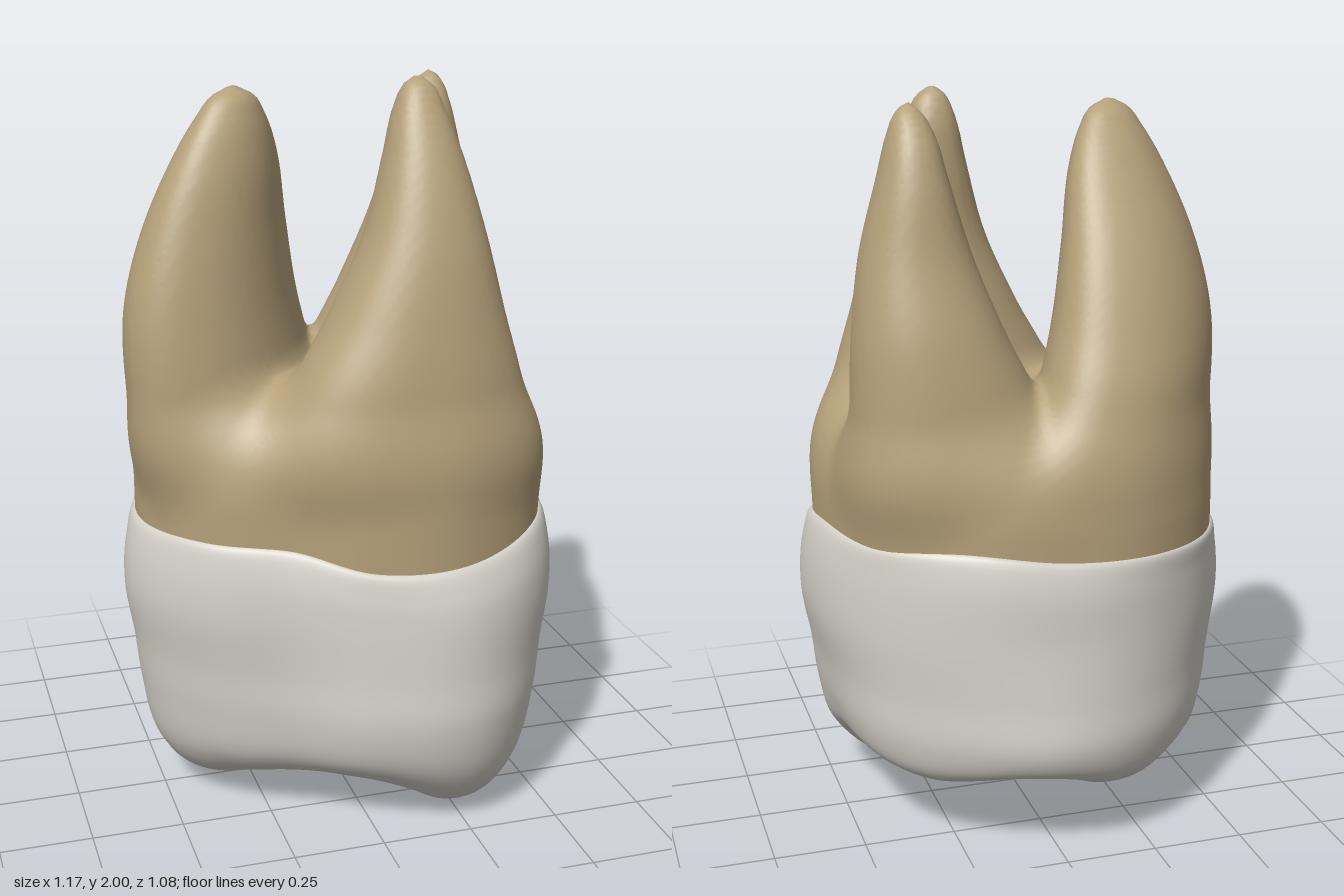
import * as THREE from 'three';
import { mergeVertices } from 'three/addons/utils/BufferGeometryUtils.js';

const SIDES = 96;
const mix = THREE.MathUtils.lerp;

// Smooth closed lookup of a table spread evenly round the tooth (0 = +x, a quarter turn = +z).
function around(table) {
  const n = table.length;
  return (angle) => {
    const t = (angle / (Math.PI * 2)) * n;
    const i = Math.floor(t), f = t - i;
    const [a, b, c, d] = [-1, 0, 1, 2].map((k) => table[(i + k + n) % n]);
    return b + 0.5 * f * (c - a + f * (2 * a - 5 * b + 4 * c - d + f * (3 * (b - c) + d - a)));
  };
}

function buildGeometry(position, index) {
  const geometry = new THREE.BufferGeometry();
  geometry.setAttribute('position', new THREE.Float32BufferAttribute(position, 3));
  geometry.setIndex(index);
  const merged = mergeVertices(geometry, 1e-4);
  merged.computeVertexNormals();
  return merged;
}

// Skin a smooth surface over rings listed from top to bottom; each ring maps angle to a point.
function loft(rings, steps) {
  const position = [], index = [];
  for (let j = 0; j < SIDES; j++) {
    const angle = (j / SIDES) * Math.PI * 2;
    const meridian = new THREE.CatmullRomCurve3(rings.map((ring) => ring(angle)));
    for (let i = 0; i <= steps; i++) position.push(...meridian.getPoint(i / steps).toArray());
  }
  const id = (i, j) => (j % SIDES) * (steps + 1) + i;
  for (let j = 0; j < SIDES; j++) {
    for (let i = 0; i < steps; i++) {
      const a = id(i, j), b = id(i, j + 1), c = id(i + 1, j), d = id(i + 1, j + 1);
      index.push(a, b, c, b, d, c);
    }
  }
  return buildGeometry(position, index);
}

// Outlines of the crown: neck, widest belly, and lower flank, then the heights of neck and cusps
const neck = around([0.54, 0.585, 0.53, 0.45, 0.41, 0.49, 0.55, 0.55, 0.52, 0.475, 0.49, 0.53]);
const belly = around([0.58, 0.62, 0.585, 0.48, 0.445, 0.52, 0.588, 0.555, 0.53, 0.51, 0.52, 0.55]);
const flank = around([0.53, 0.59, 0.6, 0.5, 0.435, 0.485, 0.55, 0.53, 0.535, 0.54, 0.52, 0.53]);
const neckY = around([0.855, 0.82, 0.765, 0.76, 0.81, 0.82, 0.815, 0.82, 0.83, 0.84, 0.87, 0.86]);
const cuspY = around([
  0.2, 0.13, 0.045, 0.0, 0.025, 0.085, 0.12, 0.13, 0.125, 0.115, 0.095, 0.06,
  0.04, 0.07, 0.15, 0.165, 0.145, 0.165, 0.21, 0.22, 0.195, 0.175, 0.185, 0.205,
]);

function crownGeometry() {
  const ring = (radius, y) => (a) =>
    new THREE.Vector3(Math.cos(a) * radius(a), y(a), Math.sin(a) * radius(a));
  const biting = (scale, lift) => ring((a) => flank(a) * scale, (a) => mix(cuspY(a), 0.3, lift));
  return loft([
    ring((a) => neck(a) * 0.94, (a) => neckY(a) - 0.01),
    ring((a) => neck(a) * 0.998, neckY),
    ring((a) => mix(neck(a), belly(a), 0.7), (a) => neckY(a) - 0.07),
    ring(belly, () => 0.62),
    ring((a) => mix(belly(a), flank(a), 0.6), () => 0.46),
    ring(flank, () => 0.33),
    biting(0.94, 0.5),
    biting(0.82, 0.14),
    biting(0.67, 0),
    biting(0.51, 0.22),
    biting(0.34, 0.62),
    biting(0.16, 0.9),
    () => new THREE.Vector3(0, 0.3, 0),
  ], 72);
}

// Each root: its slant in plan, and sections from base to tip as y, x from, x to, z from, z to
const SIDE_ROOT = {
  slant: -0.4,
  rows: [
    [0.82, -0.42, -0.1, -0.3, 0.1],
    [1.0, -0.54, 0.04, -0.42, 0.2],
    [1.2, -0.565, 0.0, -0.425, 0.2],
    [1.4, -0.565, -0.055, -0.36, 0.18],
    [1.6, -0.515, -0.095, -0.275, 0.15],
    [1.8, -0.425, -0.135, -0.16, 0.11],
    [1.9, -0.362, -0.175, -0.09, 0.075],
    [1.95, -0.318, -0.212, -0.045, 0.043],
    [1.97, -0.275, -0.255, -0.01, 0.01],
  ],
};
const FRONT_ROOT = {
  slant: 0,
  rows: [
    [0.82, -0.1, 0.4, 0.08, 0.34],
    [1.0, -0.22, 0.48, 0.03, 0.44],
    [1.2, -0.18, 0.45, 0.05, 0.44],
    [1.4, -0.07, 0.395, 0.065, 0.41],
    [1.6, 0.025, 0.345, 0.085, 0.365],
    [1.8, 0.085, 0.29, 0.09, 0.295],
    [1.92, 0.118, 0.248, 0.103, 0.235],
    [1.98, 0.147, 0.217, 0.13, 0.195],
    [2.0, 0.172, 0.188, 0.152, 0.168],
  ],
};
const BACK_ROOT = {
  slant: 0,
  rows: [
    [0.82, 0.05, 0.42, -0.3, 0.02],
    [1.0, -0.04, 0.495, -0.39, 0.04],
    [1.2, -0.01, 0.49, -0.38, 0.03],
    [1.4, 0.085, 0.48, -0.35, 0.015],
    [1.6, 0.165, 0.452, -0.295, 0.0],
    [1.8, 0.225, 0.4, -0.25, -0.035],
    [1.9, 0.253, 0.373, -0.21, -0.06],
    [1.96, 0.287, 0.348, -0.165, -0.097],
    [1.98, 0.312, 0.328, -0.138, -0.122],
  ],
};

// Joins two distances with a rounded fillet of size k.
function blend(a, b, k) {
  const h = Math.max(k - Math.abs(a - b), 0) / k;
  return Math.min(a, b) - (h * h * k) / 4;
}

// Distance functions of the roots and their shared trunk, taken one level at a time.
function rootsAtLevel(y, profiles) {
  const sections = profiles.map(({ curve, tip, slant }) => {
    const [x0, x1, z0, z1] = curve.evaluate(y);
    const w = Math.max((x1 - x0) / 2, 0.004), d = Math.max((z1 - z0) / 2, 0.004);
    return {
      x: (x0 + x1) / 2, z: (z0 + z1) / 2, over: Math.max(y - tip, 0),
      w: Math.sqrt(w * w - (slant * d) ** 2), d, slant,
    };
  });
  return (x, z) => {
    let roots = Infinity;
    for (const s of sections) {
      const dz = z - s.z, dx = x - s.x - s.slant * dz;
      const reach = (Math.abs(dx / s.w) ** 2.3 + Math.abs(dz / s.d) ** 2.3) ** (1 / 2.3);
      const side = (reach - 1) * Math.min(s.w, s.d);
      const distance = s.over > 0 ? Math.max(side, s.over) : side;
      roots = roots === Infinity ? distance : blend(roots, distance, 0.04);
    }
    const rim = Math.hypot(x, z) - 0.99 * neck(Math.atan2(z, x) + Math.PI * 2);
    const trunk = -blend(-rim, 1.2 - y, 0.3);
    return blend(roots, trunk, 0.08);
  };
}

// Roots and trunk as one smooth skin: a vertex in each grid cell the surface crosses, joined by quads
function rootsGeometry() {
  const profiles = [SIDE_ROOT, FRONT_ROOT, BACK_ROOT].map(({ slant, rows }) => ({
    slant,
    tip: rows[rows.length - 1][0],
    curve: new THREE.CubicInterpolant(rows.map((r) => r[0]), rows.flatMap((r) => r.slice(1)), 4),
  }));
  const step = 0.015, origin = [-0.66, 0.735, -0.6], size = [89, 87, 81];
  const stride = [1, size[0], size[0] * size[1]];
  const value = new Float32Array(size[0] * size[1] * size[2]);
  for (let j = 0; j < size[1]; j++) {
    const level = rootsAtLevel(origin[1] + j * step, profiles);
    for (let k = 0; k < size[2]; k++) for (let i = 0; i < size[0]; i++) {
      value[i + j * stride[1] + k * stride[2]] = level(origin[0] + i * step, origin[2] + k * step);
    }
  }

  const position = [], index = [], cell = new Int32Array(value.length).fill(-1);
  const crosses = (a, b) => value[a] < 0 !== value[b] < 0;
  for (let k = 0; k < size[2] - 1; k++) for (let j = 0; j < size[1] - 1; j++) for (let i = 0; i < size[0] - 1; i++) {
    const n = i + j * stride[1] + k * stride[2], sum = [0, 0, 0];
    let count = 0;
    for (let corner = 0; corner < 8; corner++) {
      const bits = [corner & 1, (corner >> 1) & 1, corner >> 2];
      const a = n + bits[0] + bits[1] * stride[1] + bits[2] * stride[2];
      for (let d = 0; d < 3; d++) {
        if (bits[d] || !crosses(a, a + stride[d])) continue;
        const t = value[a] / (value[a] - value[a + stride[d]]);
        for (let e = 0; e < 3; e++) sum[e] += e === d ? t : bits[e];
        count++;
      }
    }
    if (!count) continue;
    cell[n] = position.length / 3;
    [i, j, k].forEach((c, e) => position.push(origin[e] + (c + sum[e] / count) * step));
  }
  for (let n = 0; n < value.length; n++) for (let d = 0; d < 3; d++) {
    if (n + stride[d] >= value.length || !crosses(n, n + stride[d])) continue;
    const u = stride[(d + 1) % 3], v = stride[(d + 2) % 3];
    const quad = [cell[n], cell[n - u], cell[n - u - v], cell[n - v]];
    if (!quad.every((q) => q >= 0)) continue;
    if (value[n] >= 0) quad.reverse();
    const [a, b, c, e] = quad;
    index.push(a, b, c, a, c, e);
  }
  return buildGeometry(position, index);
}

export function createModel() {
  const tooth = new THREE.Group();
  tooth.name = 'molar';
  const add = (name, geometry, materialName, color) => {
    const material = new THREE.MeshStandardMaterial({ color });
    material.name = materialName;
    const mesh = new THREE.Mesh(geometry, material);
    mesh.name = name;
    tooth.add(mesh);
  };
  add('crown', crownGeometry(), 'enamel', 0xd4d0c8);
  add('roots', rootsGeometry(), 'dentine', 0xb5a17a);
  return tooth;
}
